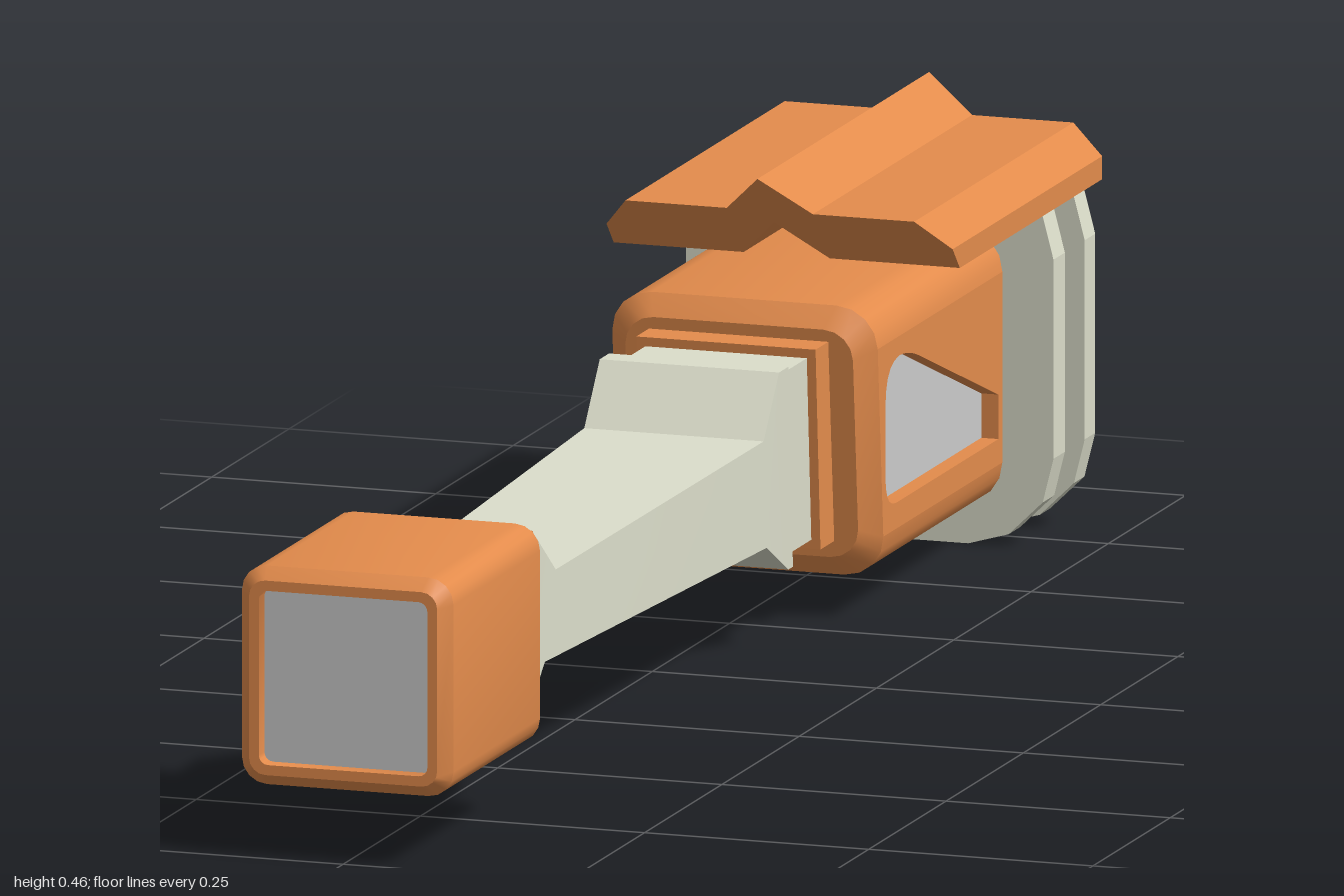
import * as THREE from 'three';
import { toCreasedNormals } from 'three/addons/utils/BufferGeometryUtils.js';

const orange = new THREE.MeshStandardMaterial({ color: 0xe48c4c });
const pale = new THREE.MeshStandardMaterial({ color: 0xdcdecb });
const grey = new THREE.MeshStandardMaterial({ color: 0xcccccc });

// Rounded rectangle section; its z leans from zTop to zBottom
function ring(hw, y0, y1, r, zTop, zBottom = zTop) {
  const n = r > 0 ? 4 : 0, pts = [];
  for (let c = 0; c < 4; c++) {
    const sx = c === 0 || c === 3 ? 1 : -1, top = c < 2;
    for (let k = 0; k <= n; k++) {
      const a = (c + (n ? k / n : 0)) * Math.PI / 2;
      const x = sx * (hw - r) + r * Math.cos(a);
      const y = (top ? y1 - r : y0 + r) + r * Math.sin(a);
      pts.push([x, y, zTop + (zBottom - zTop) * (y1 - y) / (y1 - y0)]);
    }
  }
  return pts;
}

// Skin joining sections from front to back; skip(i, j) leaves a quad open
function loft(rings, { skip = () => false, capFront = true, crease = 0.6 } = {}) {
  const v = [], m = rings[0].length;
  const tri = (...p) => p.forEach(q => v.push(...q));
  for (let i = 0; i < rings.length - 1; i++) {
    for (let j = 0; j < m; j++) {
      if (skip(i, j)) continue;
      const k = (j + 1) % m, A = rings[i], B = rings[i + 1];
      tri(A[j], B[j], B[k]);
      tri(A[j], B[k], A[k]);
    }
  }
  const F = rings[0], L = rings[rings.length - 1];
  for (let j = 1; j < m - 1; j++) {
    if (capFront) tri(F[0], F[j], F[j + 1]);
    tri(L[0], L[j + 1], L[j]);
  }
  const g = new THREE.BufferGeometry();
  g.setAttribute('position', new THREE.Float32BufferAttribute(v, 3));
  return toCreasedNormals(g, crease);
}

function polygon(points) {
  return new THREE.Shape(points.map(p => new THREE.Vector2(...p)));
}

export function createModel() {
  const group = new THREE.Group();
  const add = (name, geometry, material, x = 0, y = 0, z = 0) => {
    const mesh = new THREE.Mesh(geometry, material);
    mesh.name = name;
    mesh.position.set(x, y, z);
    group.add(mesh);
    return mesh;
  };

  // Front block with a shallow recessed end
  const square = (h, r, z) => ring(h, 0.197 - h, 0.197 + h, r, z);
  add('frontBlock', loft([
    square(0.094, 0.01, 0.98), square(0.094, 0.01, 1), square(0.105, 0.018, 1),
    square(0.118, 0.028, 0.985), square(0.118, 0.028, 0.705), square(0.104, 0.018, 0.69),
  ], { capFront: false }), orange);
  add('frontPanel', new THREE.BoxGeometry(0.19, 0.19, 0.01), grey, 0, 0.197, 0.977);

  // Handle shaft, flared at both ends: half width, bottom, top, z at top, z at bottom
  const shaft = [
    [0.08, 0.105, 0.286, 0.7, 0.7], [0.08, 0.105, 0.286, 0.617, 0.62],
    [0.082, 0.14, 0.2325, 0.55, 0.585], [0.1, 0.126, 0.243, -0.07, -0.08],
    [0.1, 0.088, 0.307, -0.12, -0.15], [0.1, 0.088, 0.307, -0.15, -0.165],
    [0.09, 0.098, 0.297, -0.155, -0.17], [0.09, 0.098, 0.297, -0.25, -0.26],
  ];
  add('handle', loft(shaft.map(([w, b, t, zt, zb]) => ring(w, b, t, 0, zt, zb)),
    { crease: 0.2 }), pale);
  add('handleTopPlate', new THREE.BoxGeometry(0.16, 0.008, 0.083), orange, 0, 0.284, 0.6585);
  add('collar', loft([
    ring(0.1, 0.088, 0.307, 0, -0.238, -0.254), ring(0.1, 0.088, 0.307, 0, -0.29, -0.305),
  ]), orange);

  // Rear housing; the flat sides are left open for the window frames
  const W = 0.148, y0 = 0.047, y1 = 0.343, R = 0.045;
  add('rearHousing', loft([
    ring(0.127, 0.07, 0.32, 0.032, -0.278, -0.3),
    ring(W, y0, y1, R, -0.296, -0.322),
    ring(W, y0, y1, R, -0.978),
    ring(0.127, 0.07, 0.32, 0.032, -1),
  ], { skip: (i, j) => i === 1 && (j === 9 || j === 19) }), orange);

  // Window frames, drawn along the length and turned to face sideways
  const edge = y => 0.296 + 0.026 * (y1 - y) / (y1 - y0);
  const low = y0 + R, high = y1 - R;
  const frame = polygon([[edge(low), low], [0.978, low], [0.978, high], [edge(high), high]]);
  const hole = new THREE.Path();
  hole.moveTo(0.36, 0.12);
  hole.lineTo(0.69, 0.12);
  hole.lineTo(0.69, 0.168);
  hole.lineTo(0.43, 0.265);
  hole.quadraticCurveTo(0.4, 0.276, 0.37, 0.277);
  hole.quadraticCurveTo(0.325, 0.275, 0.325, 0.23);
  hole.lineTo(0.325, 0.155);
  hole.quadraticCurveTo(0.325, 0.12, 0.36, 0.12);
  frame.holes.push(hole);
  const depth = 0.025;
  const frameGeo = toCreasedNormals(
    new THREE.ExtrudeGeometry(frame, { depth, bevelEnabled: false, curveSegments: 5 }).rotateY(Math.PI / 2), 0.6);
  for (const s of [1, -1]) {
    const side = s > 0 ? 'left' : 'right';
    add(side + 'WindowFrame', frameGeo, orange, s > 0 ? W - depth : -W);
    add(side + 'Window', new THREE.BoxGeometry(0.01, 0.18, 0.38), grey,
      s * (W - depth + 0.001), 0.2, -0.51);
  }

  // Two bands around the housing, reaching up to the roof
  const half = [[0.11, 0.002], [0.155, 0.015], [0.193, 0.052], [0.205, 0.1],
    [0.205, 0.315], [0.192, 0.365], [0.047, 0.365], [0, 0.41]];
  const mirrored = half.slice(0, -1).reverse().map(([x, y]) => [-x, y]);
  const bandShape = polygon([...half, ...mirrored]);
  [[-0.74, 0.037], [-0.838, 0.034]].forEach(([z, d], i) => {
    add(i ? 'rearBand' : 'frontBand',
      new THREE.ExtrudeGeometry(bandShape, { depth: d, bevelEnabled: false }), pale, 0, 0, z);
  });

  // Ridged roof with a raked front edge
  const roofShape = polygon([
    [-0.193, 0.361], [-0.048, 0.361], [0, 0.405], [0.048, 0.361], [0.193, 0.361],
    [0.193, 0.386], [0.161, 0.42], [0.048, 0.42], [0, 0.463], [-0.048, 0.42],
    [-0.161, 0.42], [-0.193, 0.386],
  ]);
  const roof = new THREE.ExtrudeGeometry(roofShape, { depth: 0.555, bevelEnabled: false });
  const p = roof.attributes.position;
  for (let i = 0; i < p.count; i++) {
    if (p.getZ(i) > 0.1) p.setZ(i, 0.555 + (p.getY(i) - 0.463) * 0.93);
  }
  roof.computeVertexNormals();
  add('roof', roof, orange, 0, 0, -0.895);

  return group;
}
